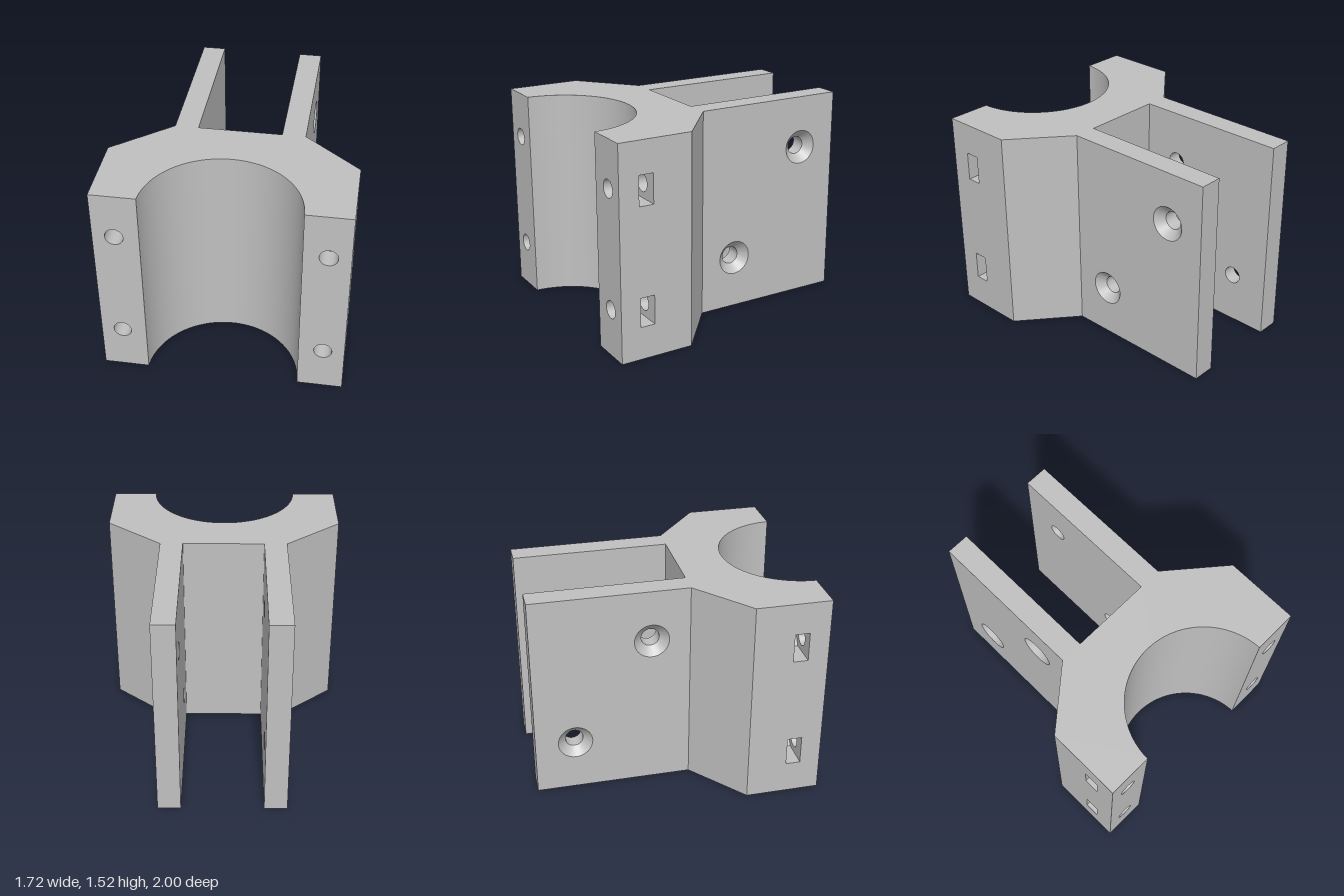
import * as THREE from 'three';
import { toCreasedNormals } from 'three/addons/utils/BufferGeometryUtils.js';

const H = 1.52;                       // overall height
const SCREW_Y = [0.34, 1.185];        // clamp screw heights
const SCREW_X = 0.71, SCREW_R = 0.063;
const SLOT_Z = 0.8025, SLOT_HALF_W = 0.0525, SLOT_HALF_H = 0.105;
const SINK_R = 0.125, BOLT_R = 0.065, SINK_DEPTH = 0.06, PLATE = 0.165;

const v2 = (x, y) => new THREE.Vector2(x, y);

function circle(u, v, r, n = 40) {
  return Array.from({ length: n }, (_, i) => {
    const a = (i / n) * Math.PI * 2;
    return v2(u + r * Math.cos(a), v + r * Math.sin(a));
  });
}

// Strip of quads between two matching rows of [x, y, z] points
function strip(a, b) {
  const pos = [...a, ...b].flat(), index = [], n = a.length;
  for (let i = 0; i < n - 1; i++) index.push(i, i + 1, n + i + 1, i, n + i + 1, n + i);
  const g = new THREE.BufferGeometry();
  g.setAttribute('position', new THREE.Float32BufferAttribute(pos, 3));
  g.setIndex(index);
  return toCreasedNormals(g, 0.5);
}

// Round bore wall running into a panel, between depths d0 and d1
function bore(u, v, r0, d0, r1, d1) {
  const row = (r, d) => {
    const pts = circle(u, v, r).map((p) => [p.x, p.y, -d]);
    return [...pts, pts[0]];
  };
  return strip(row(r0, d0), row(r1, d1));
}

function flat(points, holes = []) {
  const s = new THREE.Shape(points);
  s.holes = holes.map((h) => new THREE.Path(h));
  return new THREE.ShapeGeometry(s);
}

export function createModel() {
  const model = new THREE.Group();
  model.name = 'poleBracket';
  const grey = new THREE.MeshStandardMaterial({ color: 0xc0c0c0, side: THREE.DoubleSide });
  grey.name = 'light grey';

  function add(parent, name, geometry) {
    const m = new THREE.Mesh(geometry, grey);
    m.name = name;
    parent.add(m);
    return m;
  }

  // Upright wall from p to q ([x, z], left to right seen from outside)
  function wall(name, p, q, holes = []) {
    const g = new THREE.Group();
    g.name = name;
    const dx = q[0] - p[0], dz = q[1] - p[1], w = Math.hypot(dx, dz);
    g.position.set(p[0], 0, p[1]);
    g.rotation.y = Math.atan2(-dz, dx);
    add(g, name + 'Face', flat([v2(0, 0), v2(w, 0), v2(w, H), v2(0, H)], holes));
    model.add(g);
    return g;
  }

  // Concave pole seat
  const R = 0.54, CZ = 1.015, N = 64;
  const a0 = Math.asin((CZ - 1) / R), arc = [];
  for (let i = 0; i <= N; i++) {
    const a = Math.PI - a0 - (i / N) * (Math.PI - 2 * a0);
    arc.push([R * Math.cos(a), CZ - R * Math.sin(a)]);
  }
  add(model, 'poleSeat', strip(arc.map(([x, z]) => [x, 0, z]), arc.map(([x, z]) => [x, H, z])));

  // Top and bottom caps
  const half = [[0.86, 1], [0.86, 0.465], [0.46, 0.13], [0.46, -1], [0.295, -1], [0.295, 0.13]];
  const outline = [...arc, ...half, ...half.map(([x, z]) => [-x, z]).reverse()];
  const top = add(model, 'topCap', flat(outline.map(([x, z]) => v2(x, -z))));
  top.rotation.x = -Math.PI / 2;
  top.position.y = H;
  add(model, 'bottomCap', flat(outline.map(([x, z]) => v2(x, z)))).rotation.x = Math.PI / 2;

  wall('channelFloor', [0.295, 0.13], [-0.295, 0.13]);

  // Nut slot with a pointed inner end, crossed by the clamp screw
  function nutSlot(parent, u, y) {
    const h = SLOT_HALF_H, depth = 0.86 - SCREW_X;
    const profile = [[0, -h], [0.21, -h], [0.27, 0], [0.21, h], [0, h]];
    const row = (x) => profile.map(([d, v]) => [x, y + v, -d]);
    add(parent, 'nutSlotLining', strip(row(u + SLOT_HALF_W), row(u - SLOT_HALF_W)));
    for (const s of [1, -1]) {
      const side = add(parent, 'nutSlotSide', flat(
        profile.map(([d, v]) => v2(s * d, y + v)), [circle(s * depth, y, SCREW_R)]));
      side.rotation.y = s * Math.PI / 2;
      side.position.x = u - s * SLOT_HALF_W;
    }
  }

  for (const s of [1, -1]) {
    const side = s > 0 ? 'left' : 'right';
    // Order wall ends so each one faces outward on both sides
    const ends = (a, b) => (s > 0 ? [a, b] : [[-b[0], b[1]], [-a[0], a[1]]]);

    // Clamp front face with blind screw holes
    let [p, q] = ends([R * Math.cos(a0), 1], [0.86, 1]);
    let u = Math.abs(s * SCREW_X - p[0]);
    const front = wall(side + 'ClampFront', p, q, SCREW_Y.map((y) => circle(u, y, SCREW_R)));
    const near = 1 - SLOT_Z - SLOT_HALF_W, far = 1 - SLOT_Z + SLOT_HALF_W, end = 0.4;
    for (const y of SCREW_Y) {
      add(front, 'screwHole', bore(u, y, SCREW_R, 0, SCREW_R, near));
      add(front, 'screwHoleTail', bore(u, y, SCREW_R, far, SCREW_R, end));
      add(front, 'screwHoleEnd', flat(circle(u, y, SCREW_R))).position.z = -end;
    }

    // Clamp outer side with nut slots
    [p, q] = ends([0.86, 1], [0.86, 0.465]);
    u = Math.abs(SLOT_Z - p[1]);
    const w = SLOT_HALF_W, h = SLOT_HALF_H;
    const outer = wall(side + 'ClampSide', p, q, SCREW_Y.map((y) =>
      [v2(u - w, y - h), v2(u + w, y - h), v2(u + w, y + h), v2(u - w, y + h)]));
    SCREW_Y.forEach((y) => nutSlot(outer, u, y));

    wall(side + 'Shoulder', ...ends([0.86, 0.465], [0.46, 0.13]));

    // Mounting plate with two countersunk holes, staggered between sides
    const bolts = s > 0 ? [[-0.71, 1.14], [-0.145, 0.38]] : [[-0.71, 0.38], [-0.145, 1.14]];
    [p, q] = ends([0.46, 0.13], [0.46, -1]);
    const at = (z) => Math.abs(z - p[1]);
    const plate = wall(side + 'PlateOuter', p, q, bolts.map(([z, y]) => circle(at(z), y, SINK_R)));
    for (const [z, y] of bolts) {
      add(plate, 'countersink', bore(at(z), y, SINK_R, 0, BOLT_R, SINK_DEPTH));
      add(plate, 'boltHole', bore(at(z), y, BOLT_R, SINK_DEPTH, BOLT_R, PLATE));
    }
    wall(side + 'PlateEnd', ...ends([0.46, -1], [0.295, -1]));
    [p, q] = ends([0.295, -1], [0.295, 0.13]);
    wall(side + 'PlateInner', p, q, bolts.map(([z, y]) => circle(at(z), y, BOLT_R)));
  }
  return model;
}
